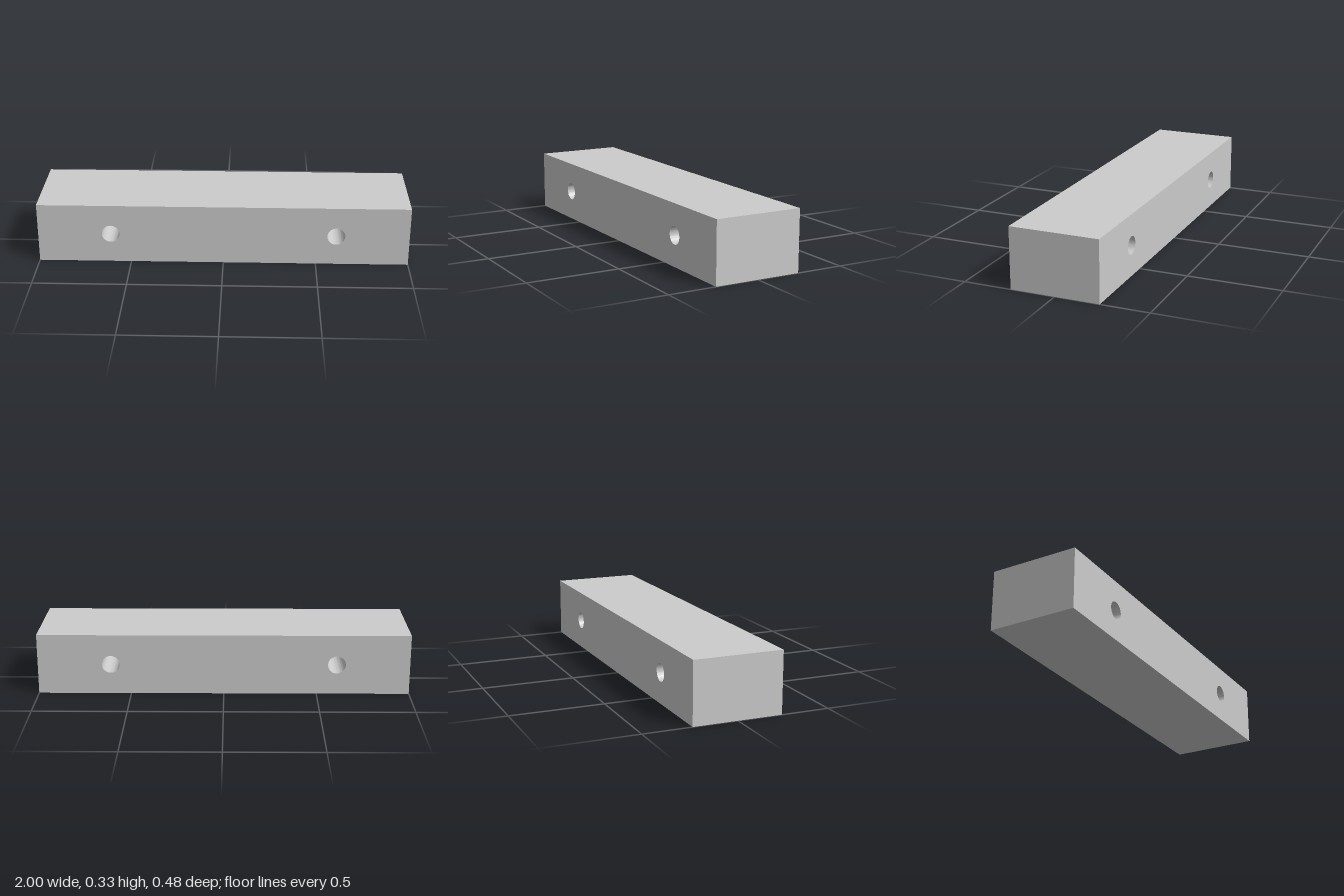
import * as THREE from 'three';
import { toCreasedNormals } from 'three/addons/utils/BufferGeometryUtils.js';

const LENGTH = 2, HEIGHT = 0.33, DEPTH = 0.48;
const HOLE_X = 0.607, HOLE_RADIUS = 0.048;

export function createModel() {
  const group = new THREE.Group();
  group.name = 'drilledBlock';

  // Front outline of the bar
  const outline = new THREE.Shape();
  outline.moveTo(-LENGTH / 2, 0);
  outline.lineTo(LENGTH / 2, 0);
  outline.lineTo(LENGTH / 2, HEIGHT);
  outline.lineTo(-LENGTH / 2, HEIGHT);
  outline.closePath();

  // Two round holes bored from front to back
  for (const side of [-1, 1]) {
    const hole = new THREE.Path();
    hole.absarc(side * HOLE_X, HEIGHT / 2, HOLE_RADIUS, 0, Math.PI * 2, true);
    outline.holes.push(hole);
  }

  const geometry = new THREE.ExtrudeGeometry(outline, {
    depth: DEPTH, bevelEnabled: false, curveSegments: 24,
  });
  geometry.translate(0, 0, -DEPTH / 2);

  // Smooth hole walls, sharp block edges
  const block = new THREE.Mesh(
    toCreasedNormals(geometry, Math.PI / 6),
    new THREE.MeshStandardMaterial({ color: 0xcccccc }),
  );
  block.name = 'block';
  group.add(block);
  return group;
}
